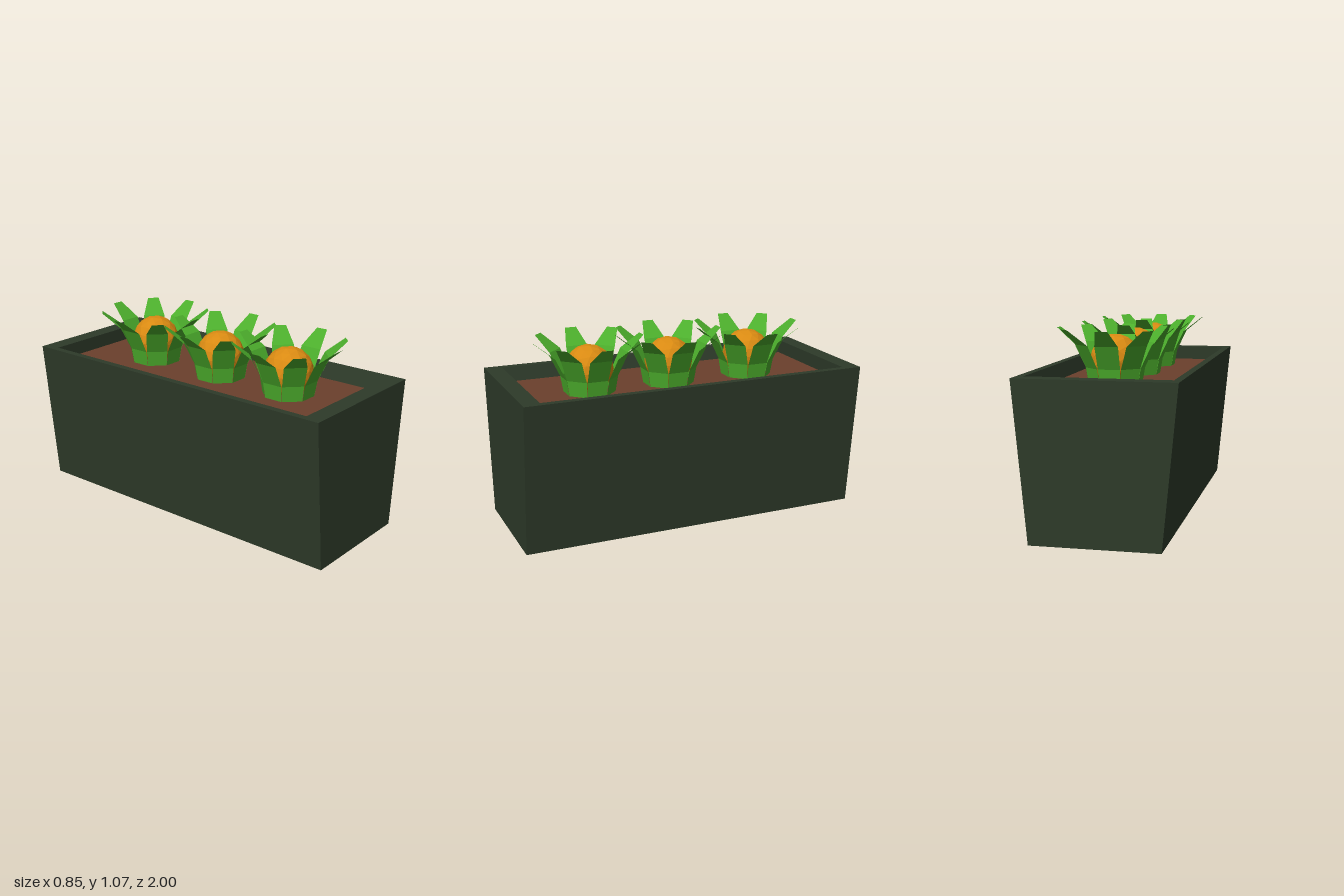
import * as THREE from 'three';

const mat = (color, side = THREE.FrontSide) =>
  new THREE.MeshStandardMaterial({ color, flatShading: true, side });

// Flat-shaded geometry from a list of quads, corners counter-clockwise
function quads(list) {
  const pos = [];
  for (const [a, b, c, d] of list) pos.push(...a, ...b, ...c, ...a, ...c, ...d);
  const g = new THREE.BufferGeometry();
  g.setAttribute('position', new THREE.Float32BufferAttribute(pos, 3));
  g.computeVertexNormals();
  return g;
}

// Horizontal rectangle, counter-clockwise seen from above
const ring = (x, y, z) => [[-x, y, z], [x, y, z], [x, y, -z], [-x, y, -z]];

// Tapered trough: outer wall, rim and inner wall joined ring by ring
function planterGeometry() {
  const rings = [ring(0.345, 0, 1), ring(0.425, 0.85, 1), ring(0.385, 0.85, 0.903), ring(0.357, 0.77, 0.903)];
  const faces = [[...rings[0]].reverse()];
  for (let i = 0; i < rings.length - 1; i++) {
    for (let k = 0; k < 4; k++) {
      const n = (k + 1) % 4;
      faces.push([rings[i][k], rings[i][n], rings[i + 1][n], rings[i + 1][k]]);
    }
  }
  return quads(faces);
}

// Leaf strip bending outwards along +z: [radius, height, half width]
function leafGeometry() {
  const s = [[0.135, 0.77, 0.055], [0.15, 0.86, 0.06], [0.21, 0.985, 0.063], [0.315, 1.07, 0.033]];
  const faces = [];
  for (let i = 0; i < s.length - 1; i++) {
    const [r0, y0, w0] = s[i], [r1, y1, w1] = s[i + 1];
    faces.push([[-w0, y0, r0], [w0, y0, r0], [w1, y1, r1], [-w1, y1, r1]]);
  }
  return quads(faces);
}

export function createModel() {
  const model = new THREE.Group();
  model.name = 'planter';
  const add = (parent, name, geometry, material) => {
    const mesh = new THREE.Mesh(geometry, material);
    mesh.name = name;
    parent.add(mesh);
    return mesh;
  };

  add(model, 'trough', planterGeometry(), mat(0x2d3a29));
  add(model, 'soil', quads([ring(0.357, 0.77, 0.903)]), mat(0x6b402c));

  // Three plants: a round orange head in a crown of eight leaves
  const headGeo = new THREE.IcosahedronGeometry(0.138, 2);
  const leafGeo = leafGeometry();
  const orange = mat(0xd98a12);
  const green = mat(0x4cae2c, THREE.DoubleSide);
  for (const z of [-0.47, 0.03, 0.51]) {
    const plant = new THREE.Group();
    plant.name = 'plant';
    plant.position.set(0.012, 0, z);
    add(plant, 'head', headGeo, orange).position.y = 0.9;
    for (let i = 0; i < 8; i++) {
      add(plant, 'leaf', leafGeo, green).rotation.y = (i * Math.PI) / 4;
    }
    model.add(plant);
  }
  return model;
}
